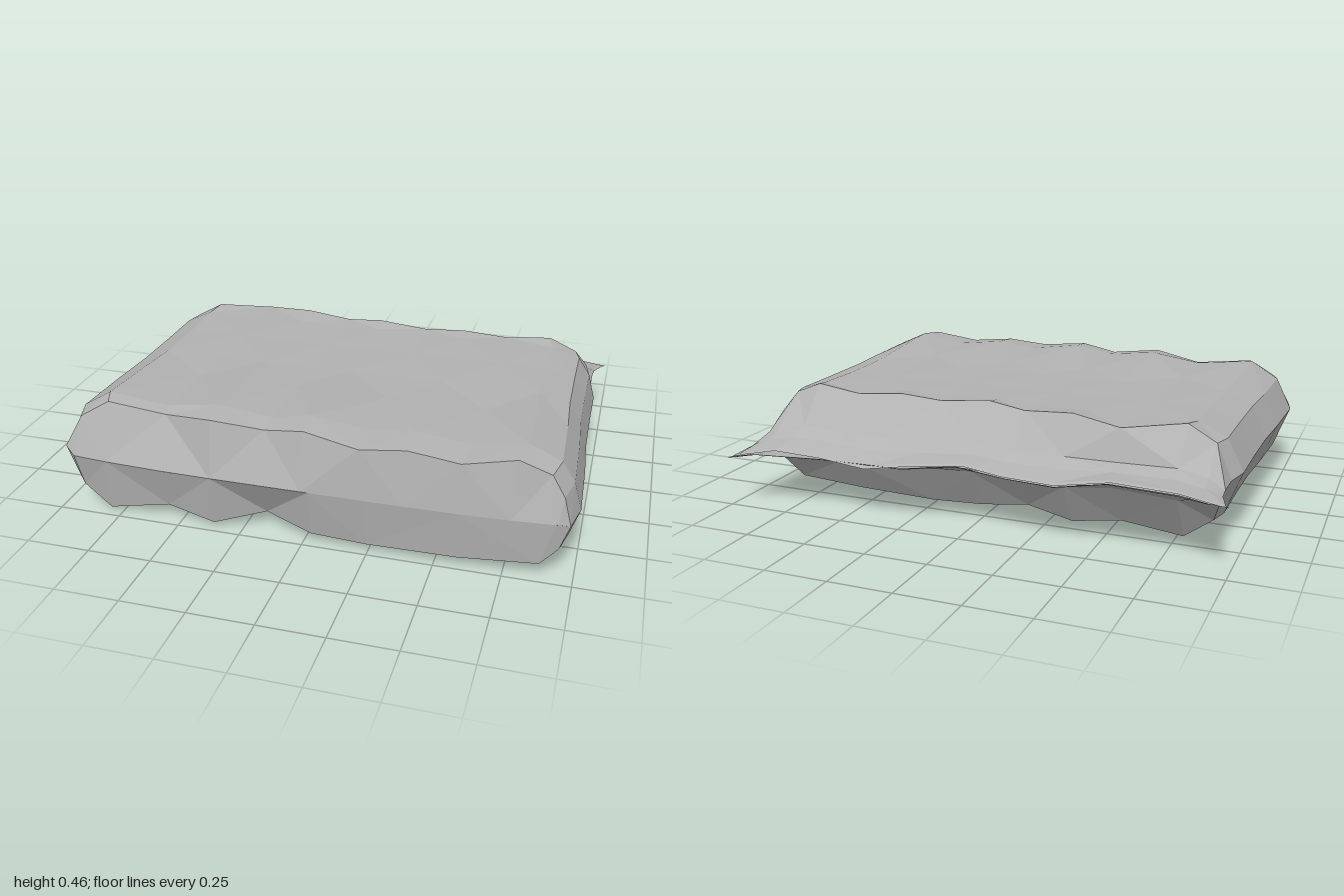
import * as THREE from 'three';

// Cross-section of the pouch, clockwise from the front: [x, y, front edge z, back edge shift]
const PROFILE = [
  [-0.82, 0.46, 0.65, 0.02], [-0.58, 0.432, 0.645, -0.06], [-0.37, 0.463, 0.70, -0.01],
  [-0.16, 0.44, 0.68, 0.01], [0, 0.467, 0.70, 0.03], [0.22, 0.438, 0.73, 0.03],
  [0.40, 0.455, 0.72, 0.03], [0.60, 0.432, 0.725, 0.02], [0.80, 0.465, 0.70, 0.03],
  [0.92, 0.41, 0.68, 0.04], [0.97, 0.335, 0.70, 0], [1.0, 0.225, 0.71, -0.02],
  [0.965, 0.12, 0.71, 0], [0.90, 0.05, 0.72, 0.02],
  [0.60, 0.03, 0.73, 0.01], [0.25, 0.022, 0.725, 0], [0.03, 0.03, 0.72, 0.01],
  [-0.17, 0.06, 0.66, 0.02], [-0.37, 0.012, 0.72, 0], [-0.57, 0.05, 0.70, 0.01],
  [-0.82, 0.003, 0.71, 0.02], [-0.935, 0.09, 0.70, 0.02], [-1.0, 0.26, 0.70, 0],
  [-0.935, 0.39, 0.67, 0.02],
];

// Even out the waves of the top and bottom by the factor w
function softened(y, w) {
  if (y > 0.425) return 0.438 + (y - 0.438) * w;
  if (y < 0.07) return 0.025 + (y - 0.025) * w;
  return y;
}

// A ring of points across the pouch body
function bodyRing(z, sx, sy, w, back = 0) {
  return PROFILE.map(([x, y, , shift]) => [
    x * sx, 0.23 + (softened(y, w) - 0.23) * sy, z + shift * back,
  ]);
}

// Ridge that runs across the middle of the front panel
const frontRidge = PROFILE.map(([x]) => {
  const cx = Math.max(-0.93, Math.min(0.94, x * 0.96));
  return [cx, 0.235, 0.755 - 0.035 * Math.pow(Math.abs(cx), 4)];
});
const frontEdge = PROFILE.map(([x, y, z]) => [x * 0.975, 0.23 + (y - 0.23) * 0.95, z]);

// A flattened, wavy ring of the crimped opening
function finRing(z, sx, half, wave) {
  return PROFILE.map(([x, y]) => {
    const t = x * sx;
    const flare = Math.pow(Math.abs(x), 3);
    const sheet = 0.25 - 0.035 * x * wave + 0.02 * Math.sin(x * 9 + 1) * wave;
    const ripple = 0.015 * Math.sin(x * 8 + 2) - 0.05 * flare;
    return [t, sheet + ((y - 0.23) / 0.23) * half, z + ripple * wave];
  });
}

const neck = finRing(-0.565, 0.95, 0.06, 0.25);

const bodyRings = [
  frontRidge,
  frontEdge,
  bodyRing(0.59, 1.0, 1.0, 1),
  bodyRing(0.30, 0.99, 0.98, 0.5),
  bodyRing(0.10, 0.977, 0.97, 0.15),
  bodyRing(-0.15, 0.973, 0.97, 0.1),
  bodyRing(-0.36, 0.973, 0.97, 0.3),
  bodyRing(-0.465, 0.95, 0.98, 0.7, 1),
  neck,
];
const finRings = [
  neck,
  finRing(-0.62, 0.955, 0.03, 0.5),
  finRing(-0.70, 0.985, 0.01, 0.95),
  finRing(-0.71, 1.0, 0.002, 1),
];

// Skin a list of rings, ordered front to back
function loft(rings) {
  const n = PROFILE.length;
  const index = [];
  for (let i = 0; i < rings.length - 1; i++) {
    for (let j = 0; j < n; j++) {
      const k = (j + 1) % n;
      const a = i * n + j, b = i * n + k, c = a + n, d = b + n;
      // Alternate the diagonals for a crumpled look
      if ((i + j) % 2) index.push(a, b, c, b, d, c);
      else index.push(a, b, d, a, d, c);
    }
  }
  const indexed = new THREE.BufferGeometry();
  indexed.setAttribute('position', new THREE.Float32BufferAttribute(rings.flat(2), 3));
  indexed.setIndex(index);
  const geometry = indexed.toNonIndexed();
  geometry.computeVertexNormals();
  return geometry;
}

export function createModel() {
  const group = new THREE.Group();
  group.name = 'pouch';
  const grey = new THREE.MeshStandardMaterial({
    name: 'grey film', color: 0xb2b2b2, flatShading: true, side: THREE.DoubleSide,
  });
  const add = (name, rings) => {
    const mesh = new THREE.Mesh(loft(rings), grey);
    mesh.name = name;
    group.add(mesh);
  };
  add('filledBody', bodyRings);
  add('crimpedOpening', finRings);
  return group;
}
